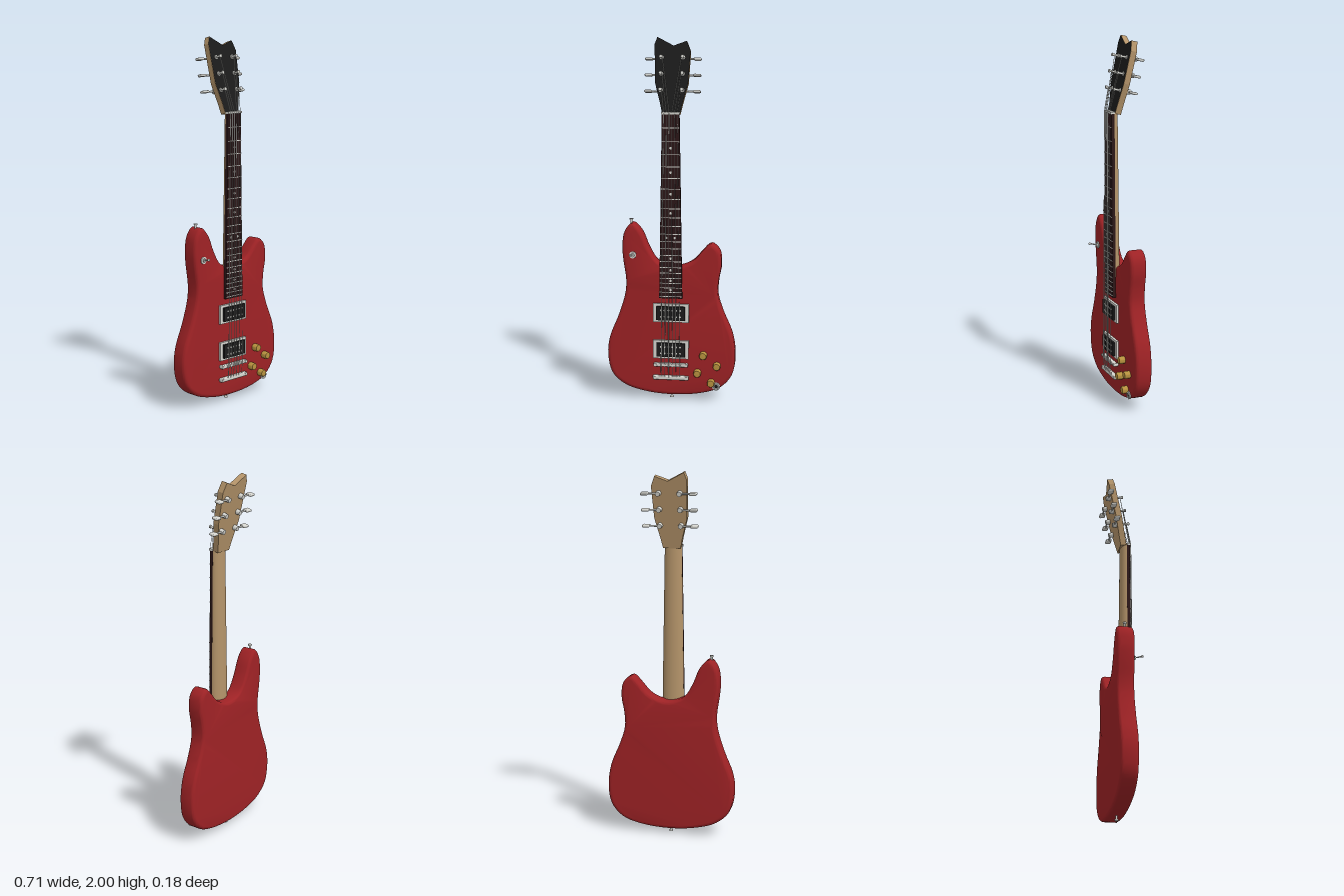
import * as THREE from 'three';
import { toCreasedNormals } from 'three/addons/utils/BufferGeometryUtils.js';
import { RoundedBoxGeometry } from 'three/addons/geometries/RoundedBoxGeometry.js';

const mat = (name, color) => {
  const m = new THREE.MeshStandardMaterial({ color });
  m.name = name;
  return m;
};

export function createModel() {
  const red = mat('red lacquer', 0x9e2225);
  const wood = mat('maple', 0xb4946a);
  const ebony = mat('black', 0x1c1c1c);
  const rosewood = mat('dark fingerboard', 0x2c1718);
  const chrome = mat('chrome', 0xd6d6d0);
  const gold = mat('gold', 0xb8923f);

  const guitar = new THREE.Group();
  guitar.name = 'electricGuitar';

  const add = (parent, name, geometry, material, x = 0, y = 0, z = 0) => {
    const mesh = new THREE.Mesh(geometry, material);
    mesh.name = name;
    mesh.position.set(x, y, z);
    parent.add(mesh);
    return mesh;
  };
  const box = (parent, name, w, h, d, material, x, y, z) =>
    add(parent, name, new THREE.BoxGeometry(w, h, d), material, x, y, z);
  const rounded = (parent, name, w, h, d, r, material, x, y, z) =>
    add(parent, name, new RoundedBoxGeometry(w, h, d, 2, r), material, x, y, z);
  // Round bar between two points
  const rod = (parent, name, a, b, r0, r1, material, sides = 16) => {
    const from = new THREE.Vector3(...a), to = new THREE.Vector3(...b);
    const dir = to.clone().sub(from);
    const mesh = add(parent, name, new THREE.CylinderGeometry(r1, r0, dir.length(), sides), material);
    mesh.position.copy(from).add(to).multiplyScalar(0.5);
    mesh.quaternion.setFromUnitVectors(new THREE.Vector3(0, 1, 0), dir.normalize());
    return mesh;
  };
  const polygon = (pts) => new THREE.Shape(pts.map(([x, y]) => new THREE.Vector2(x, y)));

  // Body: closed spline outline with rounded edges
  const outline = [
    [0, 0.025], [0.17, 0.04], [0.275, 0.077], [0.338, 0.15], [0.355, 0.26], [0.337, 0.38],
    [0.287, 0.5], [0.257, 0.6], [0.26, 0.68], [0.275, 0.77], [0.264, 0.85], [0.218, 0.887],
    [0.17, 0.845], [0.125, 0.795], [0.065, 0.763], [0, 0.755], [-0.075, 0.78], [-0.125, 0.855],
    [-0.167, 0.95], [-0.217, 0.995], [-0.258, 0.95], [-0.272, 0.87], [-0.267, 0.79], [-0.252, 0.68],
    [-0.257, 0.6], [-0.297, 0.47], [-0.345, 0.35], [-0.357, 0.25], [-0.332, 0.14], [-0.26, 0.075], [-0.15, 0.04],
  ];
  const curve = new THREE.CatmullRomCurve3(outline.map(([x, y]) => new THREE.Vector3(x, y, 0)), true);
  const bodyShape = polygon(curve.getPoints(124).slice(0, -1).map((p) => [p.x, p.y]));
  const R = 0.02, FACE = 0.032, BACK = -0.062;
  const bodyGeo = new THREE.ExtrudeGeometry(bodyShape, {
    depth: FACE - BACK - 2 * R, bevelThickness: R, bevelSize: R, bevelOffset: -R, bevelSegments: 5,
  });
  add(guitar, 'body', toCreasedNormals(bodyGeo, 0.5), red, 0, 0, BACK + R);

  // Neck: tapered half-round bar
  const NUT = 1.6, END = 0.585, SCALE = 1.395;
  const halfWidth = (y) => 0.063 + (0.047 - 0.063) * (y - END) / (NUT - END);
  const neckGeo = new THREE.CylinderGeometry(0.047, 0.061, NUT - 0.7, 24, 1, false, Math.PI / 2, Math.PI);
  neckGeo.scale(1, 1, 0.7);
  add(guitar, 'neck', neckGeo, wood, 0, (NUT + 0.7) / 2, 0.036);

  // Fingerboard
  const board = polygon([[-0.063, END], [0.063, END], [0.047, NUT], [-0.047, NUT]]);
  add(guitar, 'fingerboard', new THREE.ExtrudeGeometry(board, { depth: 0.018, bevelEnabled: false }),
    rosewood, 0, 0, 0.034);

  // Frets and position dots
  const fretY = (n) => NUT - SCALE * (1 - 2 ** (-n / 12));
  for (let n = 1; n <= 22; n++) {
    box(guitar, 'fret', halfWidth(fretY(n)) * 2, 0.004, 0.003, chrome, 0, fretY(n), 0.053);
  }
  for (const n of [3, 5, 7, 9, 12, 15, 17, 19, 21]) {
    const y = (fretY(n) + fretY(n - 1)) / 2;
    for (const x of n === 12 ? [-0.024, 0.024] : [0]) {
      rod(guitar, 'positionDot', [x, y, 0.05], [x, y, 0.0528], 0.007, 0.007, chrome);
    }
  }
  box(guitar, 'nut', 0.1, 0.012, 0.024, chrome, 0, NUT, 0.046);

  // Headstock: tilted back, black front plate
  const head = new THREE.Group();
  head.name = 'headstock';
  head.position.set(0, NUT, 0.031);
  head.rotation.x = -0.21;
  guitar.add(head);
  const headShape = polygon([
    [-0.048, -0.005], [0.048, -0.005], [0.06, 0.05], [0.088, 0.16], [0.097, 0.335], [0.076, 0.388],
    [0.005, 0.362], [-0.084, 0.409], [-0.098, 0.37], [-0.09, 0.16], [-0.06, 0.05],
  ]);
  add(head, 'headstockWood', new THREE.ExtrudeGeometry(headShape, { depth: 0.034, bevelEnabled: false }),
    wood, 0, 0, -0.034);
  add(head, 'headstockFace', new THREE.ShapeGeometry(headShape), ebony, 0, 0, 0.0012);

  // Tuners, three on each side
  const tunerY = [0.122, 0.21, 0.298];
  for (const s of [-1, 1]) {
    for (const y of tunerY) {
      const x = s * 0.058;
      rod(head, 'tunerBushing', [x, y, 0], [x, y, 0.006], 0.012, 0.011, chrome);
      rod(head, 'tunerPost', [x, y, 0], [x, y, 0.038], 0.006, 0.006, chrome);
      rod(head, 'tunerPostCap', [x, y, 0.032], [x, y, 0.04], 0.009, 0.009, chrome);
      rod(head, 'tunerHousing', [x, y, -0.058], [x, y, -0.033], 0.013, 0.015, chrome);
      rod(head, 'tunerShaft', [x, y, -0.046], [s * 0.115, y, -0.046], 0.005, 0.005, chrome);
      rounded(head, 'tunerKey', 0.042, 0.014, 0.034, 0.006, chrome, s * 0.132, y, -0.046);
    }
  }

  // Strings from tailpiece over bridge and nut to the posts
  for (let i = 0; i < 6; i++) {
    const t = (i - 2.5) / 2.5, s = Math.sign(t);
    const r = 0.0022 - i * 0.0002;
    const yPost = tunerY[i < 3 ? i : 5 - i];
    rod(guitar, 'string', [t * 0.052, 0.13, 0.056], [t * 0.052, 0.205, 0.063], r, r, chrome, 6);
    rod(guitar, 'string', [t * 0.052, 0.205, 0.063], [t * 0.037, NUT, 0.059], r, r, chrome, 6);
    rod(head, 'headString', [t * 0.037, 0, 0.028], [s * 0.052, yPost, 0.026], r, r, chrome, 6);
  }

  // Pickups: pale frame, black coil block, two rows of pole pieces
  for (const y of [0.5, 0.292]) {
    box(guitar, 'pickupFrame', 0.198, 0.104, 0.014, chrome, 0, y, 0.038);
    box(guitar, 'pickupCoils', 0.158, 0.078, 0.024, ebony, 0, y, 0.045);
    for (const row of [-0.018, 0.018]) {
      for (let i = 0; i < 6; i++) {
        const x = (i - 2.5) * 0.0215;
        rod(guitar, 'polePiece', [x, y + row, 0.054], [x, y + row, 0.059], 0.005, 0.005, chrome, 10);
      }
    }
  }

  // Bridge and tailpiece
  rounded(guitar, 'bridge', 0.19, 0.02, 0.022, 0.005, chrome, 0, 0.205, 0.046);
  rounded(guitar, 'tailpiece', 0.2, 0.022, 0.026, 0.006, chrome, 0, 0.131, 0.045);
  for (let i = 0; i < 6; i++) {
    box(guitar, 'saddle', 0.012, 0.014, 0.008, chrome, (i - 2.5) * 0.0208, 0.205, 0.058);
  }
  for (const y of [0.205, 0.131]) {
    for (const x of [-0.087, 0.087]) {
      rod(guitar, 'bridgePost', [x, y, 0.03], [x, y, 0.06], 0.009, 0.009, chrome);
    }
  }

  // Control knobs
  const knobProfile = [[0, 0], [0.021, 0], [0.021, 0.026], [0.018, 0.033], [0, 0.035]]
    .map(([x, y]) => new THREE.Vector2(x, y));
  for (const [x, y] of [[0.18, 0.264], [0.256, 0.205], [0.148, 0.162], [0.224, 0.108]]) {
    const knob = add(guitar, 'knob', toCreasedNormals(new THREE.LatheGeometry(knobProfile, 24), 0.6),
      gold, x, y, FACE);
    knob.rotation.x = Math.PI / 2;
  }

  // Output jack
  rod(guitar, 'jackPlate', [0.252, 0.086, 0.03], [0.252, 0.086, 0.036], 0.023, 0.023, chrome, 24);
  add(guitar, 'jackRing', new THREE.TorusGeometry(0.013, 0.004, 8, 20), chrome, 0.252, 0.086, 0.037);
  rod(guitar, 'jackHole', [0.252, 0.086, 0.034], [0.252, 0.086, 0.0375], 0.011, 0.011, ebony);

  // Selector switch
  rod(guitar, 'switchWasher', [-0.212, 0.82, 0.03], [-0.212, 0.82, 0.037], 0.02, 0.019, chrome, 24);
  rod(guitar, 'switchNut', [-0.212, 0.82, 0.036], [-0.212, 0.82, 0.045], 0.011, 0.011, chrome, 6);
  rod(guitar, 'switchLever', [-0.212, 0.82, 0.04], [-0.219, 0.829, 0.08], 0.003, 0.004, chrome, 10);
  add(guitar, 'switchTip', new THREE.SphereGeometry(0.007, 14, 10), chrome, -0.219, 0.829, 0.08);

  // Strap buttons at the upper horn and the bottom
  for (const [x, y, dir] of [[-0.225, 0.985, 1], [0, 0.03, -1]]) {
    rod(guitar, 'strapButtonStem', [x, y, -0.015], [x, y + dir * 0.025, -0.015], 0.006, 0.006, chrome);
    rod(guitar, 'strapButtonCap', [x, y + dir * 0.022, -0.015], [x, y + dir * 0.03, -0.015], 0.009, 0.011, chrome);
  }
  return guitar;
}
